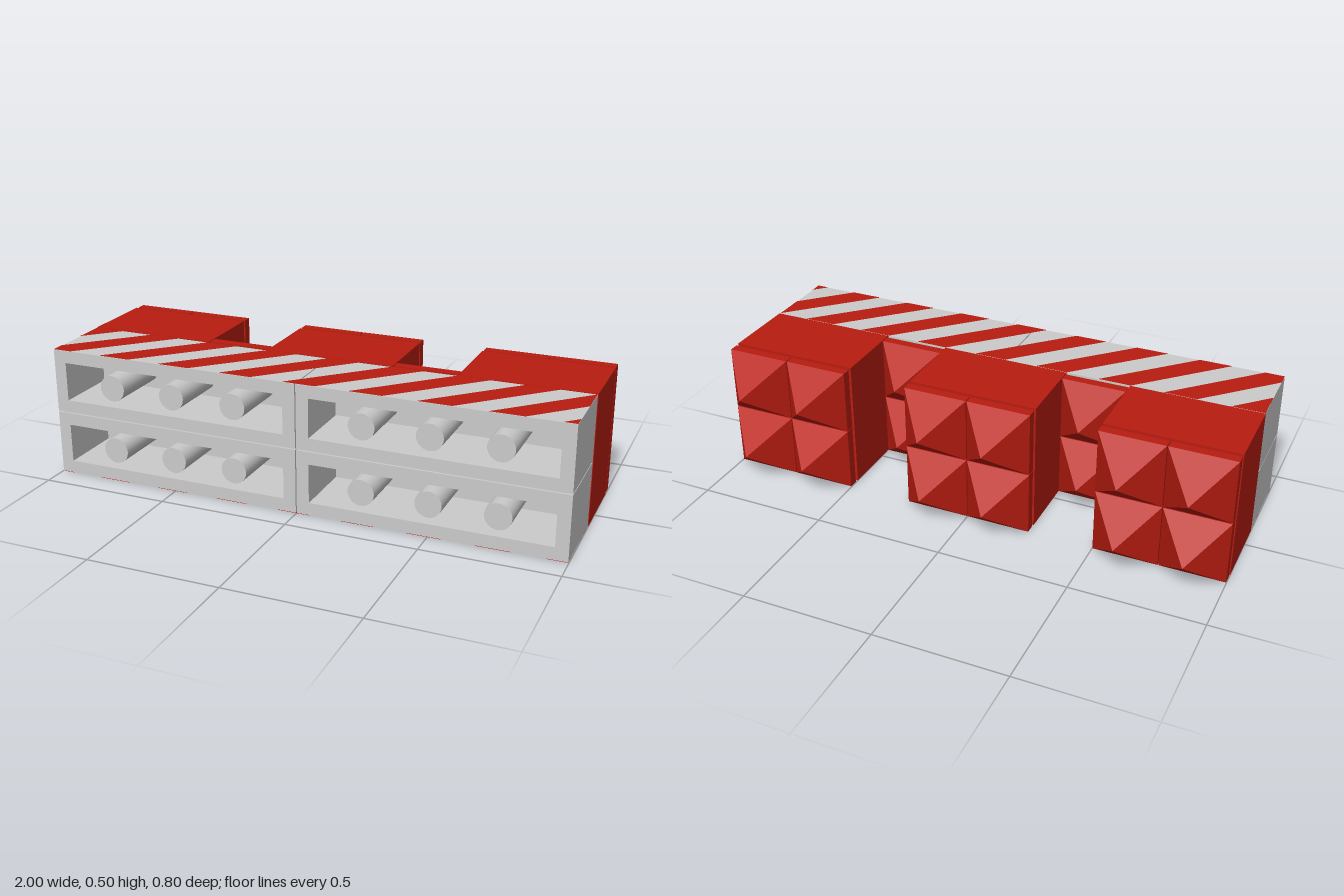
import * as THREE from 'three';

const grey = new THREE.MeshStandardMaterial({ color: 0xcccccc, flatShading: true });
const smoothGrey = new THREE.MeshStandardMaterial({ color: 0xcccccc });
const red = new THREE.MeshStandardMaterial({ color: 0xb81c10, flatShading: true });
const redSheet = new THREE.MeshStandardMaterial({ color: 0xb81c10, side: THREE.DoubleSide });

function add(parent, name, geometry, material, x, y, z) {
  const mesh = new THREE.Mesh(geometry, material);
  mesh.name = name;
  mesh.position.set(x, y, z);
  parent.add(mesh);
  return mesh;
}

// Rectangle path centred on the origin
function rectangle(Type, w, h) {
  return new Type([[-w, -h], [w, -h], [w, h], [-w, h]].map(([x, y]) => new THREE.Vector2(x / 2, y / 2)));
}

// Hollow brick, open at the front, with three pegs inside
function makeBrick() {
  const brick = new THREE.Group();
  brick.name = 'hollowBrick';
  const frame = rectangle(THREE.Shape, 0.996, 0.246);
  frame.holes.push(rectangle(THREE.Path, 0.9, 0.15));
  add(brick, 'brickWalls', new THREE.ExtrudeGeometry(frame, { depth: 0.25, bevelEnabled: false }), grey, 0, 0, 0.15);
  add(brick, 'brickBack', new THREE.BoxGeometry(0.996, 0.246, 0.05), grey, 0, 0, 0.125);
  for (const x of [-0.25, 0, 0.25]) {
    const peg = new THREE.CylinderGeometry(0.05, 0.05, 0.25, 24).rotateX(Math.PI / 2);
    add(brick, 'peg', peg, smoothGrey, x, 0, 0.275);
  }
  return brick;
}

// Square spike pointing backwards from a mounting face at z = 0
function makeSpike() {
  const spike = new THREE.Group();
  spike.name = 'spike';
  add(spike, 'spikeStud', new THREE.BoxGeometry(0.15, 0.15, 0.004), red, 0, 0, -0.001);
  add(spike, 'spikeNeck', new THREE.BoxGeometry(0.22, 0.22, 0.012), red, 0, 0, -0.009);
  add(spike, 'spikePlate', new THREE.BoxGeometry(0.247, 0.247, 0.036), red, 0, 0, -0.032);
  const point = new THREE.ConeGeometry(0.247 / Math.SQRT2, 0.15, 4, 1, true)
    .rotateY(Math.PI / 4).rotateX(-Math.PI / 2);
  add(spike, 'spikePoint', point, red, 0, 0, -0.125);
  return spike;
}

// Cuts a polygon at x = limit, keeping the side given by sign
function clip(points, limit, sign) {
  const out = [];
  points.forEach((a, i) => {
    const b = points[(i + 1) % points.length];
    const da = (a.x - limit) * sign, db = (b.x - limit) * sign;
    if (da >= 0) out.push(a);
    if (da * db < 0) out.push(a.clone().lerp(b, da / (da - db)));
  });
  return out;
}

// Diagonal warning stripes; flip mirrors them for the underside
function addStripes(parent, y, flip) {
  const group = new THREE.Group();
  group.name = 'warningStripes';
  for (let u = 0; u < 2.3; u += 0.25) {
    const end = u + 0.125;
    let points = [[u, 0.1], [end, 0.1], [end - 0.3, 0.4], [u - 0.3, 0.4]]
      .map(([x, z]) => new THREE.Vector2(x - 1, z));
    points = clip(clip(points, -0.998, 1), 0.998, -1);
    if (points.length < 3) continue;
    points.forEach((p) => { p.x *= flip; });
    const geometry = new THREE.ShapeGeometry(new THREE.Shape(points)).rotateX(Math.PI / 2);
    // Make each stripe face outwards
    if (flip > 0) {
      const index = geometry.index.array;
      for (let i = 0; i < index.length; i += 3) [index[i], index[i + 1]] = [index[i + 1], index[i]];
      geometry.computeVertexNormals();
    }
    add(group, 'stripe', geometry, redSheet, 0, y, 0);
  }
  parent.add(group);
}

export function createModel() {
  const model = new THREE.Group();
  model.name = 'spikedBarrier';

  // Front wall of four bricks
  for (const x of [-0.5, 0.5]) {
    for (const y of [0.125, 0.375]) {
      const brick = makeBrick();
      brick.position.set(x, y, 0);
      model.add(brick);
    }
  }
  addStripes(model, 0.4995, 1);
  addStripes(model, 0.0005, -1);

  // Three rear blocks, each joined to the wall by two low ribs
  for (const x of [-0.75, 0, 0.75]) {
    add(model, 'rearBlock', new THREE.BoxGeometry(0.5, 0.5, 0.297), red, x, 0.25, -0.0515);
    for (const y of [0.125, 0.375]) {
      add(model, 'blockRib', new THREE.BoxGeometry(0.4, 0.15, 0.006), red, x, y, 0.099);
    }
  }

  // Spikes on the blocks, and on the wall in the gaps between them
  for (let i = 0; i < 8; i++) {
    const inGap = i === 2 || i === 5;
    for (const y of [0.125, 0.375]) {
      const spike = makeSpike();
      spike.position.set(-0.875 + i * 0.25, y, inGap ? 0.1 : -0.2);
      model.add(spike);
    }
  }
  return model;
}
